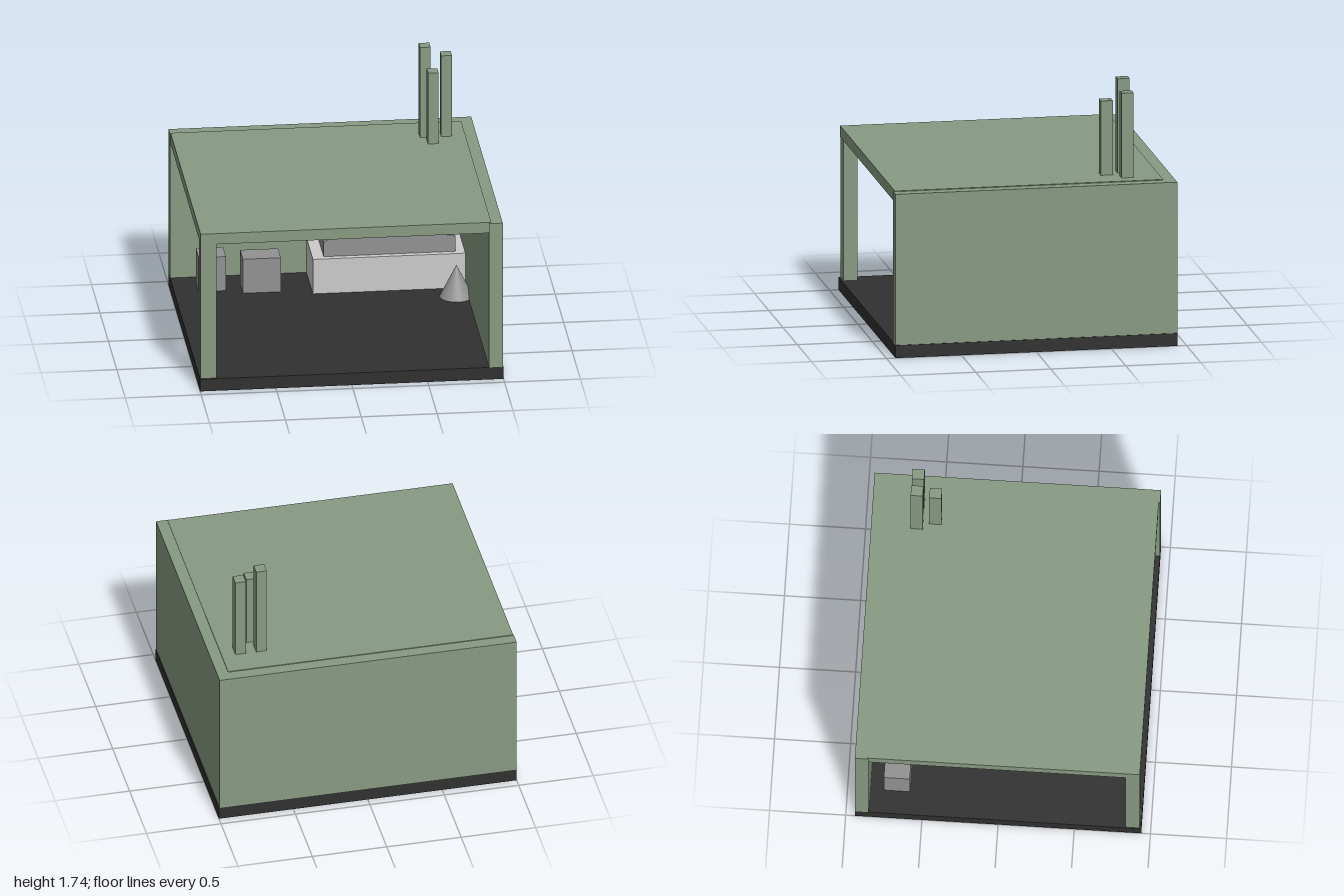
import * as THREE from 'three';

const material = (color) => new THREE.MeshStandardMaterial({ color });

export function createModel() {
  const group = new THREE.Group();
  const green = material(0x879a82);
  const dark = material(0x303030);
  const midGrey = material(0x929292);
  const lightGrey = material(0xcccccc);

  const add = (name, geometry, mat) => {
    const mesh = new THREE.Mesh(geometry, mat);
    mesh.name = name;
    group.add(mesh);
    return mesh;
  };

  // Box given by its extents along each axis
  const block = (name, mat, [x0, x1], [y0, y1], [z0, z1]) =>
    add(name, new THREE.BoxGeometry(x1 - x0, y1 - y0, z1 - z0), mat)
      .position.set((x0 + x1) / 2, (y0 + y1) / 2, (z0 + z1) / 2);

  const floorTop = 0.085;
  const wallTop = 1.1;

  // Shell: floor slab, two closed walls, one corner post, overlapping roof
  block('floor', dark, [-1, 1], [0, floorTop], [-0.94, 0.94]);
  block('backWall', green, [-1, 0.995], [floorTop, wallTop], [-0.94, -0.85]);
  block('rightWall', green, [0.905, 0.995], [floorTop, wallTop], [-0.85, 0.94]);
  block('cornerPost', green, [-0.995, -0.89], [floorTop, 1.03], [0.835, 0.928]);
  block('roof', green, [-0.995, 0.92], [1.03, 1.105], [-0.86, 0.93]);

  // Chimneys: centre x, centre z, top
  for (const [x, z, top] of [[0.655, -0.64, 1.74], [0.795, -0.64, 1.675], [0.695, -0.52, 1.605]]) {
    block('chimney', green, [x - 0.035, x + 0.035], [wallTop - 0.03, top], [z - 0.04, z + 0.04]);
  }

  // Interior blocks
  block('smallCrate', midGrey, [-0.84, -0.66], [floorTop, 0.325], [-0.76, -0.59]);
  block('largeCrate', midGrey, [-0.555, -0.305], [floorTop, 0.325], [-0.695, -0.53]);
  block('counter', lightGrey, [-0.1, 0.905], [floorTop, 0.328], [-0.85, -0.47]);

  // Soft load on the counter: bowed top with clipped corners
  const profile = [
    [-0.025, 0.328], [0.845, 0.328], [0.845, 0.43], [0.82, 0.445], [0.65, 0.452],
    [0.4, 0.463], [0.2, 0.455], [0, 0.446], [-0.025, 0.425],
  ].map(([x, y]) => new THREE.Vector2(x, y));
  add('counterLoad', new THREE.ExtrudeGeometry(new THREE.Shape(profile), { depth: 0.3, bevelEnabled: false }), midGrey)
    .position.z = -0.81;

  // Cone standing against the right wall
  add('cone', new THREE.ConeGeometry(0.11, 0.22, 32), midGrey).position.set(0.83, floorTop + 0.11, -0.33);

  return group;
}
